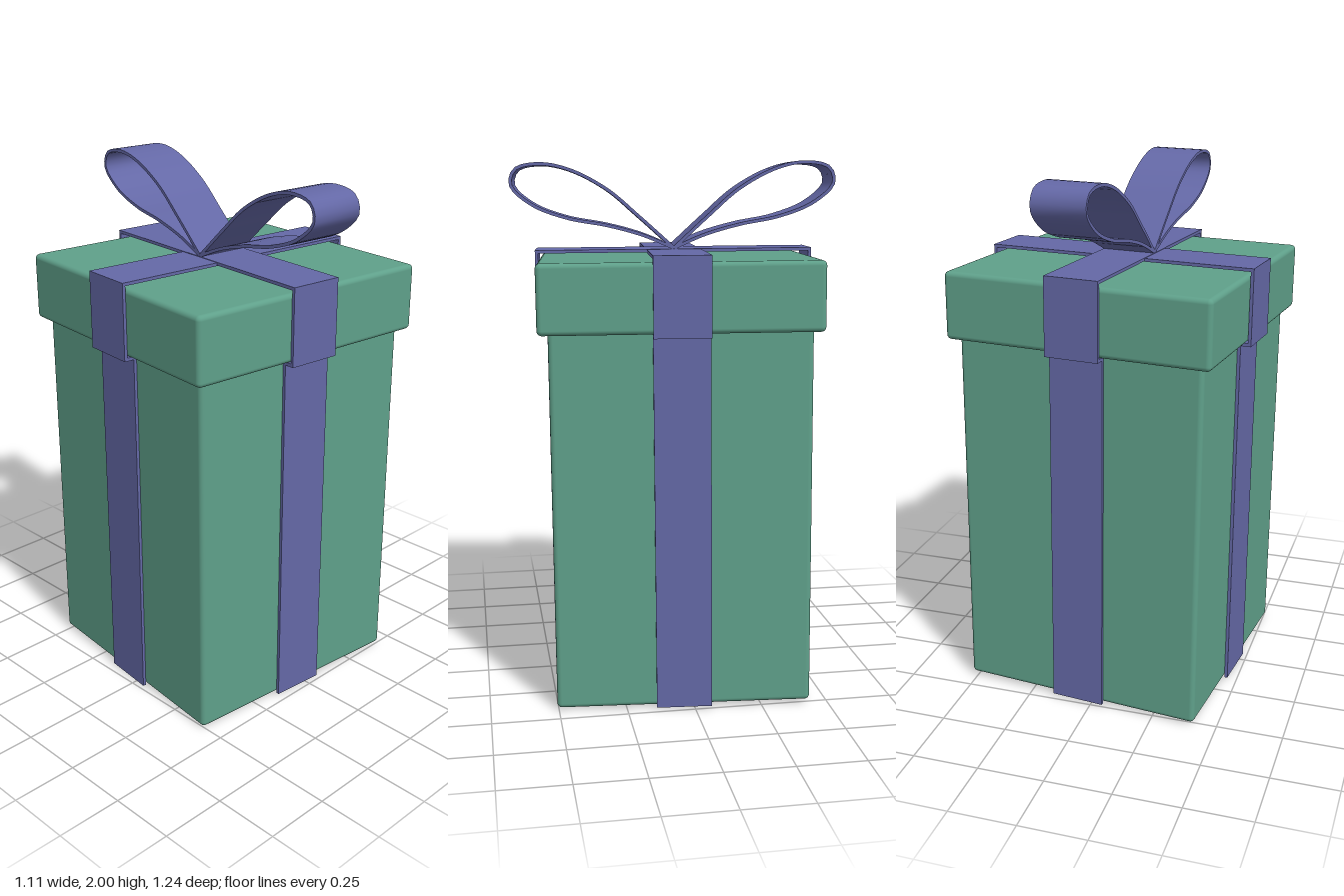
import * as THREE from 'three';
import { RoundedBoxGeometry } from 'three/addons/geometries/RoundedBoxGeometry.js';
import { toCreasedNormals } from 'three/addons/utils/BufferGeometryUtils.js';

const green = new THREE.MeshStandardMaterial({ color: 0x5fa08a });
const purple = new THREE.MeshStandardMaterial({ color: 0x6468a6 });
const RIBBON_WIDTH = 0.205;
const THICKNESS = 0.012;

function roundedBox(name, width, bottom, top) {
  const mesh = new THREE.Mesh(new RoundedBoxGeometry(width, top - bottom, width, 4, 0.018), green);
  mesh.position.y = (bottom + top) / 2;
  mesh.name = name;
  return mesh;
}

// Extrudes a side outline across the ribbon's width, centred on its middle
function ribbonMesh(name, outline) {
  const geometry = new THREE.ExtrudeGeometry(new THREE.Shape(outline), {
    depth: RIBBON_WIDTH, bevelEnabled: false,
  });
  geometry.translate(0, 0, -RIBBON_WIDTH / 2);
  const mesh = new THREE.Mesh(toCreasedNormals(geometry, 0.6), purple);
  mesh.name = name;
  return mesh;
}

// Ribbon that climbs the body, steps out under the lid and crosses its top
function wrapRibbon(name, top) {
  const t = THICKNESS;
  const outer = [[0.483, 0], [0.483, 1.379], [0.522, 1.379], [0.522, top]];
  const inner = [[0.483 - t, 0], [0.483 - t, 1.379 + t], [0.522 - t, 1.379 + t], [0.522 - t, top - t]];
  const mirror = (points) => points.map(([x, y]) => [-x, y]).reverse();
  const loop = [...outer, ...mirror(outer), ...inner.map(([x, y]) => [-x, y]), ...mirror(inner).map(([x, y]) => [-x, y])];
  // (the inner line runs back from the left foot to the right foot)
  return ribbonMesh(name, loop.map(([x, y]) => new THREE.Vector2(x, y)));
}

// Teardrop loop of the bow, given thickness by offsetting its centre line
function bowLoop(name) {
  const path = new THREE.CatmullRomCurve3([
    [0, 1.672], [0.12, 1.722], [0.25, 1.758], [0.4, 1.787], [0.53, 1.838], [0.605, 1.91],
    [0.588, 1.966], [0.5, 1.986], [0.39, 1.965], [0.25, 1.892], [0.13, 1.79], [0.004, 1.676],
  ].map(([x, y]) => new THREE.Vector3(x, y, 0)));
  const outer = [], inner = [];
  const steps = 60;
  for (let i = 0; i <= steps; i++) {
    const p = path.getPointAt(i / steps);
    const d = path.getTangentAt(i / steps);
    const h = THICKNESS / 2;
    outer.push(new THREE.Vector2(p.x + d.y * h, p.y - d.x * h));
    inner.push(new THREE.Vector2(p.x - d.y * h, p.y + d.x * h));
  }
  return ribbonMesh(name, [...outer, ...inner.reverse()]);
}

export function createModel() {
  // Box turned slightly about the vertical
  const gift = new THREE.Group();
  gift.name = 'giftBox';
  gift.rotation.y = -0.098;
  gift.add(roundedBox('body', 0.942, 0.004, 1.5));
  gift.add(roundedBox('lid', 1.016, 1.392, 1.643));

  // Two crossing ribbons
  const sideRibbon = wrapRibbon('sideToSideRibbon', 1.667);
  const frontRibbon = wrapRibbon('frontToBackRibbon', 1.669);
  frontRibbon.rotation.y = Math.PI / 2;
  gift.add(sideRibbon, frontRibbon);

  // Bow with one loop to the front and one to the back
  const bow = new THREE.Group();
  bow.name = 'bow';
  for (const [name, angle] of [['frontBowLoop', -Math.PI / 2], ['backBowLoop', Math.PI / 2]]) {
    const loop = bowLoop(name);
    loop.rotation.y = angle;
    bow.add(loop);
  }
  gift.add(bow);

  // Very slight lean of the whole box
  const lean = new THREE.Group();
  lean.name = 'leaningGift';
  lean.rotation.set(0.007, 0, 0.007);
  lean.position.set(0.008, 0.004, -0.008);
  lean.add(gift);

  const model = new THREE.Group();
  model.name = 'gift';
  model.add(lean);
  return model;
}
